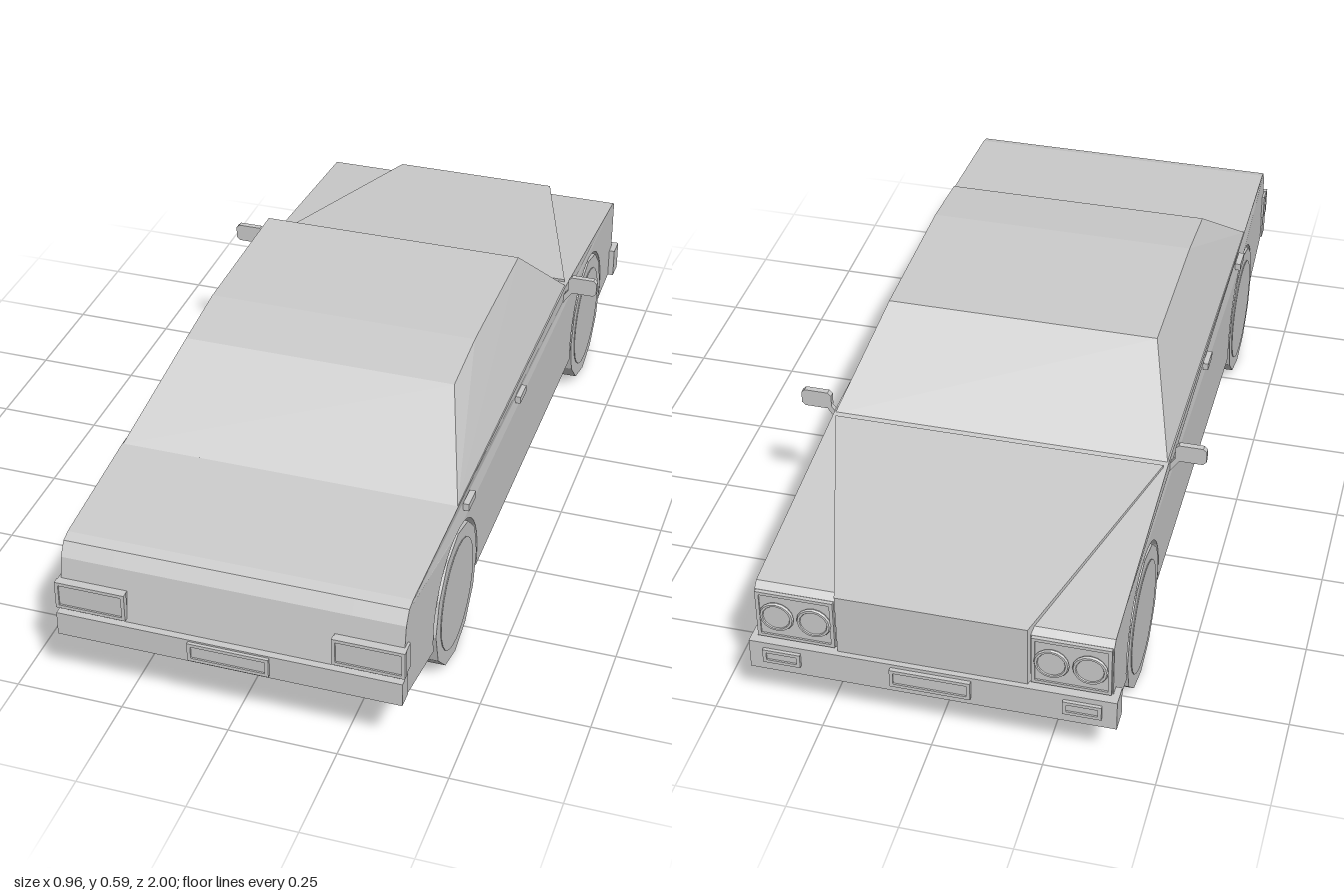
import * as THREE from 'three';

const mat = new THREE.MeshStandardMaterial({ color: 0xcccccc, flatShading: true });

// Wheel layout
const R = 0.165, AXLES = [0.59, -0.66];

export function createModel() {
  const car = new THREE.Group();
  car.name = 'car';

  const add = (name, geo, x = 0, y = 0, z = 0) => {
    const m = new THREE.Mesh(geo, mat);
    m.name = name;
    m.position.set(x, y, z);
    car.add(m);
    return m;
  };
  const box = (name, w, h, d, x, y, z) => add(name, new THREE.BoxGeometry(w, h, d), x, y, z);

  // Extrudes a [z, y] side profile across the car from x0 to x1
  const slab = (pts, x0, x1) => {
    const shape = new THREE.Shape(pts.map(p => new THREE.Vector2(p[0], p[1])));
    const geo = new THREE.ExtrudeGeometry(shape, { depth: x1 - x0, bevelEnabled: false });
    return geo.rotateY(-Math.PI / 2).translate(x1, 0, 0);
  };
  const moveVertices = (geo, rule) => {
    const p = geo.attributes.position, v = new THREE.Vector3();
    for (let i = 0; i < p.count; i++) {
      rule(v.fromBufferAttribute(p, i));
      p.setXYZ(i, v.x, v.y, v.z);
    }
    geo.computeVertexNormals();
    return geo;
  };

  // Lower body: a full core between the wheels, and sides with cut wheel arches
  const top = [[-0.82, 0.125], [-0.955, 0.135], [-0.965, 0.22], [-0.965, 0.34], [-0.95, 0.353],
    [-0.385, 0.405], [0.59, 0.405], [0.91, 0.387], [0.935, 0.38], [0.955, 0.35], [0.975, 0.225], [0.98, 0.165], [0.765, 0.13]];
  const arch = zc => Array.from({ length: 25 }, (_, i) => {
    const a = -0.21 + (Math.PI + 0.46) * i / 24;
    return [zc + 0.172 * Math.cos(a), R + 0.172 * Math.sin(a)];
  });
  // Loop is clockwise in (z, y): the shape builder corrects its winding
  const sidePts = [...top, ...arch(AXLES[0]), ...arch(AXLES[1])];
  const taper = v => {
    if (Math.abs(v.x) > 0.3 && v.z > 0.6) v.x *= 1 - 0.02 * (v.z - 0.6) / 0.4;
  };
  add('bodyCore', slab([...top, [0.75, 0.12]], -0.27, 0.27));
  add('bodySideLeft', moveVertices(slab(sidePts, 0.27, 0.396), taper));
  add('bodySideRight', moveVertices(slab(sidePts, -0.396, -0.27), taper));
  add('underbody', slab([[0.81, 0.14], [0.75, 0.097], [-0.83, 0.097], [-0.89, 0.14]], -0.27, 0.27));

  // Cabin, narrowing towards the roof
  const cabin = slab([[0.59, 0.405], [0.37, 0.57], [0.2, 0.588], [-0.19, 0.588], [-0.405, 0.4]], -0.394, 0.394);
  add('cabin', moveVertices(cabin, v => {
    if (v.y > 0.5) v.x = Math.sign(v.x) * 0.32;
  }));

  // Raised bonnet panel running down into the grille
  add('bonnetAndGrille', moveVertices(new THREE.BoxGeometry(2, 1, 1), v => {
    const s = Math.sign(v.x), up = v.y > 0;
    if (v.z < 0) v.set(s * 0.212, up ? 0.362 : 0.2, -0.977);
    else v.set(s * 0.387, up ? 0.408 : 0.38, -0.42);
  }));

  // Bumpers and number plates
  box('frontBumper', 0.82, 0.075, 0.05, 0, 0.172, -0.965);
  box('rearBumper', 0.786, 0.058, 0.04, 0, 0.195, 0.972);
  const frame = (name, w, h, x, y, z, dir) => {
    box(name + 'Panel', w - 0.016, h - 0.016, 0.008, x, y, z);
    for (const s of [-1, 1]) {
      box(name + 'FrameBar', w, 0.008, 0.014, x, y + s * (h / 2 - 0.004), z + dir * 0.001);
      box(name + 'FramePost', 0.008, h, 0.014, x + s * (w / 2 - 0.004), y, z + dir * 0.001);
    }
  };
  frame('rearPlate', 0.185, 0.046, 0.005, 0.197, 0.992, 1);
  frame('frontPlate', 0.18, 0.046, 0, 0.178, -0.992, -1);

  for (const s of [1, -1]) {
    const side = s > 0 ? 'left' : 'right';

    // Tail lamps wrapping the rear corner
    box(side + 'TailLampBody', 0.16, 0.065, 0.035, s * 0.315, 0.267, 0.96);
    frame(side + 'TailLamp', 0.162, 0.068, s * 0.315, 0.267, 0.977, 1);

    // Twin round headlamps in a framed panel
    frame(side + 'HeadlampPanel', 0.175, 0.125, s * 0.306, 0.277, -0.966, -1);
    for (const x of [0.263, 0.347]) {
      const lens = new THREE.CylinderGeometry(0.03, 0.03, 0.012, 16).rotateX(Math.PI / 2);
      add(side + 'HeadlampLens', lens, s * x, 0.277, -0.97);
      add(side + 'HeadlampRing', new THREE.TorusGeometry(0.034, 0.005, 6, 16), s * x, 0.277, -0.974);
    }
    frame(side + 'TurnSignal', 0.085, 0.035, s * 0.335, 0.178, -0.99, -1);

    // Door handles
    for (const z of [0.51, 0.06]) box(side + 'DoorHandle', 0.014, 0.018, 0.055, s * 0.399, 0.366, z);

    // Door mirror: bevelled housing on a slanted stalk
    const m = new THREE.Shape([[-0.036, -0.014], [-0.028, -0.022], [0.028, -0.022], [0.036, -0.014],
      [0.036, 0.014], [0.028, 0.022], [-0.028, 0.022], [-0.036, 0.014]].map(p => new THREE.Vector2(...p)));
    const housing = new THREE.ExtrudeGeometry(m, { depth: 0.014, bevelEnabled: false });
    add(side + 'Mirror', housing, s * 0.443, 0.422, -0.388);
    box(side + 'MirrorStalk', 0.012, 0.05, 0.012, s * 0.4, 0.385, -0.381).rotation.z = -s * 0.6;

    // Twelve-sided wheels with a shallow hubcap
    for (const z of AXLES) {
      const end = z > 0 ? 'Rear' : 'Front';
      const tyre = new THREE.CylinderGeometry(R, R, 0.127, 12).rotateZ(Math.PI / 2);
      add(side + end + 'Wheel', tyre, s * 0.3335, R, z);
      const cap = new THREE.CylinderGeometry(0.13, 0.13, 0.006, 24).rotateZ(Math.PI / 2);
      add(side + end + 'Hubcap', cap, s * 0.396, R, z);
    }
  }
  return car;
}
